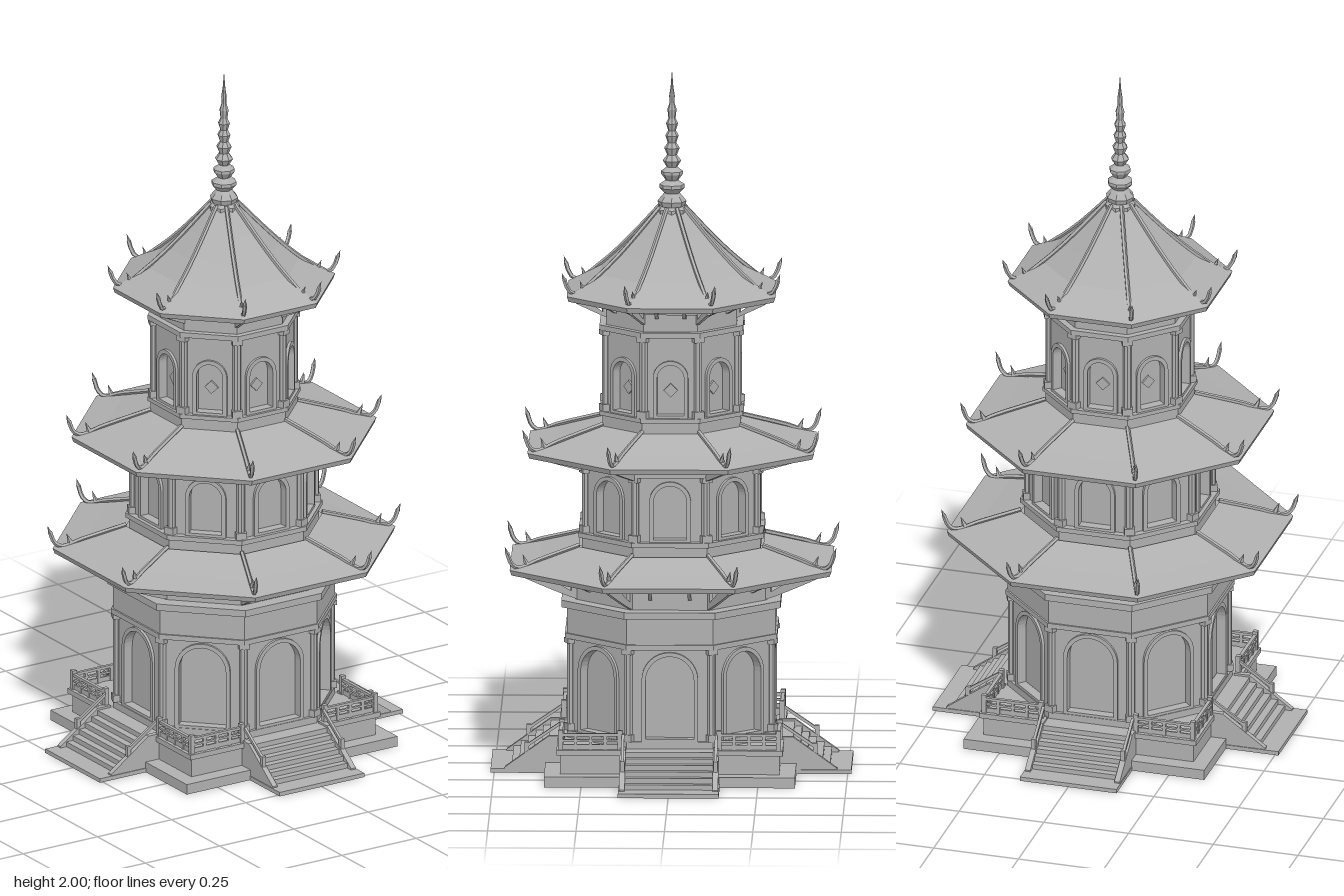
import * as THREE from 'three';

const STEP = Math.PI / 4, HALF = Math.PI / 8, COS = Math.cos(HALF), TAN = Math.tan(HALF);
const stone = new THREE.MeshStandardMaterial({ color: 0xb0b0b0, flatShading: true, side: THREE.DoubleSide });
stone.name = 'grey stone';

function add(parent, name, geometry, x = 0, y = 0, z = 0) {
  const mesh = new THREE.Mesh(geometry, stone);
  mesh.name = name;
  mesh.position.set(x, y, z);
  parent.add(mesh);
  return mesh;
}
const box = (p, name, w, h, d, x, y, z) => add(p, name, new THREE.BoxGeometry(w, h, d), x, y, z);

// Repeats a part around the tower; local +z points outwards
function around(parent, name, count, offset, build) {
  for (let i = 0; i < count; i++) {
    const g = new THREE.Group();
    g.name = name;
    g.rotation.y = offset + (i * Math.PI * 2) / count;
    build(g);
    parent.add(g);
  }
}

// Octagonal solid from [apothem, y] pairs, flat sides to the axes
function octagon(parent, name, profile) {
  const pts = profile.map(([a, y]) => new THREE.Vector2(a / COS, y));
  return add(parent, name, new THREE.LatheGeometry(pts, 8, HALF, Math.PI * 2));
}
const band = (p, name, a, y0, y1, a1 = a) => octagon(p, name, [[0, y0], [a, y0], [a1, y1], [0, y1]]);

function archPath(path, w, y0, y1) {
  path.moveTo(-w, y0);
  path.lineTo(w, y0);
  path.lineTo(w, y1 - w);
  path.absarc(0, y1 - w, w, 0, Math.PI, false);
  path.lineTo(-w, y0);
  return path;
}
const extrude = (shape, depth) => new THREE.ExtrudeGeometry(shape, { depth, bevelEnabled: false, curveSegments: 8 });

// One storey: core, eight arched walls, corner columns
function storey(parent, { a, y0, y1, w, top, diamond }) {
  band(parent, 'doorPanels', a - 0.022, y0, y1);
  around(parent, 'archedWall', 8, 0, g => {
    const s = a * TAN;
    const wall = new THREE.Shape([[-s, y0], [s, y0], [s, y1], [-s, y1]].map(p => new THREE.Vector2(...p)));
    wall.holes.push(archPath(new THREE.Path(), w, y0 + 0.008, top));
    add(g, 'wall', extrude(wall, 0.02), 0, 0, a - 0.02);
    const trim = archPath(new THREE.Shape(), w + 0.012, y0, top + 0.012);
    trim.holes.push(archPath(new THREE.Path(), w, y0 + 0.008, top));
    add(g, 'archTrim', extrude(trim, 0.008), 0, 0, a);
    if (diamond) {
      const d = box(g, 'diamond', 0.028, 0.028, 0.008, 0, (y0 + top) / 2, a - 0.02);
      d.rotation.z = STEP;
    }
  });
  around(parent, 'cornerColumn', 8, HALF, g => {
    add(g, 'column', new THREE.CylinderGeometry(0.012, 0.012, y1 - y0, 8), 0, (y0 + y1) / 2, a / COS - 0.002);
    box(g, 'columnFoot', 0.03, 0.02, 0.03, 0, y0 + 0.01, a / COS - 0.002);
    box(g, 'columnHead', 0.03, 0.014, 0.03, 0, y1 - 0.007, a / COS - 0.002);
  });
}

// Pierced bracket in the local z/y plane, from wall radius r reaching out
function bracket(g, x, r, y, reach, drop) {
  const s = new THREE.Shape();
  s.moveTo(0, 0);
  s.lineTo(0, -drop);
  s.quadraticCurveTo(reach * 0.35, -drop * 0.75, reach, -0.012);
  s.lineTo(reach, 0);
  const hole = new THREE.Path();
  hole.moveTo(reach * 0.12, -drop * 0.2);
  hole.lineTo(reach * 0.55, -drop * 0.2);
  hole.lineTo(reach * 0.12, -drop * 0.7);
  s.holes.push(hole);
  const m = add(g, 'bracket', extrude(s, 0.01), x - 0.005, y, r);
  m.rotation.y = -Math.PI / 2;
  m.position.x = x + 0.005;
}

// Roof: solid with underside, hip ridges turned up at the tips, brackets
function roof(parent, { wall, under, eave, slope, reach, drop }) {
  const [ea, ey] = eave;
  octagon(parent, 'roof', [[wall - 0.01, under], [ea - 0.005, ey - 0.015], eave, ...slope]);
  around(parent, 'hipRidge', 8, HALF, g => {
    const line = [...slope].reverse().concat([eave]).map(([a, y]) => new THREE.Vector3(0, y + 0.006, a / COS));
    const r = ea / COS;
    line[line.length - 1].z -= 0.025;
    line.push(new THREE.Vector3(0, ey + 0.018, r - 0.005), new THREE.Vector3(0, ey + 0.05, r + 0.008));
    add(g, 'ridge', new THREE.TubeGeometry(new THREE.CatmullRomCurve3(line), 20, 0.0065, 5));
    const tip = add(g, 'ridgeTip', new THREE.ConeGeometry(0.0065, 0.024, 5), 0, ey + 0.058, r + 0.011);
    tip.rotation.x = 0.35;
    const beast = add(g, 'ridgeOrnament', new THREE.ConeGeometry(0.008, 0.03, 5), 0, ey + 0.03, r - 0.045);
    beast.rotation.x = 0.4;
    bracket(g, 0, wall / COS - 0.005, ey - 0.012, reach / COS, drop);
  });
  around(parent, 'eaveBrackets', 8, 0, g => {
    for (const s of [-1, 1]) bracket(g, s * wall * TAN * 0.5, wall - 0.005, ey - 0.012, reach * 0.7, drop * 0.7);
  });
}

// Low railing along local x
function railing(parent, x0, x1, y, z) {
  const n = 4, len = x1 - x0, mid = (x0 + x1) / 2;
  for (let i = 0; i <= n; i++) {
    const end = i === 0 || i === n;
    box(parent, 'railPost', end ? 0.014 : 0.009, end ? 0.056 : 0.045, end ? 0.014 : 0.009,
      x0 + (len * i) / n, y + (end ? 0.028 : 0.0225), z);
  }
  box(parent, 'topRail', len, 0.008, 0.01, mid, y + 0.043, z);
  box(parent, 'midRail', len, 0.006, 0.008, mid, y + 0.026, z);
  box(parent, 'railPanel', len, 0.014, 0.005, mid, y + 0.008, z);
}

function polygonSide(points, depth) {
  return extrude(new THREE.Shape(points.map(p => new THREE.Vector2(...p))), depth);
}

export function createModel() {
  const model = new THREE.Group();
  model.name = 'pagoda';

  // Square plinth
  const base = new THREE.Group();
  base.name = 'plinth';
  model.add(base);
  box(base, 'lowerSlab', 0.71, 0.03, 0.71, 0, 0.015, 0);
  box(base, 'plinthBlock', 0.62, 0.055, 0.62, 0, 0.0575, 0);
  box(base, 'plinthCap', 0.64, 0.015, 0.64, 0, 0.0925, 0);

  // Four stairs with sloping cheeks, handrails and terrace railings
  around(base, 'stairs', 4, 0, g => {
    box(g, 'landing', 0.285, 0.012, 0.21, 0, 0.006, 0.405);
    const n = 6;
    for (let i = 0; i < n; i++) {
      const h = 0.1 - i * 0.0147, out = 0.345 + i * 0.021;
      box(g, 'step', 0.25, h, out - 0.3, 0, h / 2, (out + 0.3) / 2);
    }
    for (const s of [-1, 1]) {
      const cheek = add(g, 'cheek', polygonSide([[0.3, 0], [0.47, 0], [0.47, 0.016], [0.345, 0.106], [0.3, 0.106]], 0.016), s * 0.132 + 0.008);
      cheek.rotation.y = -Math.PI / 2;
      const rail = add(g, 'handrail', polygonSide([[0.315, 0.135], [0.41, 0.07], [0.41, 0.08], [0.315, 0.145]], 0.008), s * 0.132 + 0.004);
      rail.rotation.y = -Math.PI / 2;
      box(g, 'newelPost', 0.012, 0.05, 0.012, s * 0.132, 0.062, 0.408);
    }
    railing(g, -0.308, -0.14, 0.1, 0.308);
    railing(g, 0.14, 0.308, 0.1, 0.308);
  });

  // Ground storey
  const first = new THREE.Group();
  first.name = 'groundStorey';
  model.add(first);
  band(first, 'footBand', 0.295, 0.1, 0.12);
  storey(first, { a: 0.285, y0: 0.12, y1: 0.385, w: 0.068, top: 0.365 });
  band(first, 'lintelBand', 0.3, 0.385, 0.4);
  band(first, 'upperWall', 0.295, 0.4, 0.475);
  band(first, 'cornice', 0.31, 0.475, 0.495);
  band(first, 'bracketWall', 0.27, 0.495, 0.605);
  roof(first, { wall: 0.27, under: 0.605, eave: [0.455, 0.592], slope: [[0.37, 0.612], [0.26, 0.645]], reach: 0.15, drop: 0.085 });

  // Middle storey
  const second = new THREE.Group();
  second.name = 'middleStorey';
  model.add(second);
  band(second, 'sillBand', 0.252, 0.63, 0.672);
  band(second, 'sillCap', 0.262, 0.672, 0.686);
  storey(second, { a: 0.243, y0: 0.686, y1: 0.872, w: 0.047, top: 0.848 });
  band(second, 'cornice', 0.256, 0.872, 0.887);
  band(second, 'bracketWall', 0.225, 0.887, 0.94);
  roof(second, { wall: 0.225, under: 0.94, eave: [0.405, 0.925], slope: [[0.32, 0.948], [0.195, 0.988]], reach: 0.14, drop: 0.06 });

  // Top storey
  const third = new THREE.Group();
  third.name = 'topStorey';
  model.add(third);
  band(third, 'sillBand', 0.195, 0.965, 1.02);
  band(third, 'sillCap', 0.203, 1.02, 1.032);
  storey(third, { a: 0.187, y0: 1.032, y1: 1.265, w: 0.038, top: 1.185, diamond: true });
  band(third, 'cornice', 0.203, 1.265, 1.28);
  band(third, 'bracketWall', 0.185, 1.28, 1.33);
  band(third, 'eaveBeam', 0.195, 1.33, 1.385, 0.205);
  roof(third, {
    wall: 0.19, under: 1.38, eave: [0.295, 1.368], reach: 0.08, drop: 0.055,
    slope: [[0.2, 1.422], [0.145, 1.475], [0.095, 1.53], [0.035, 1.6]],
  });

  // Spire of stacked rings
  const spire = [[0, 1.58], [0.045, 1.585], [0.045, 1.6], [0.036, 1.608], [0.041, 1.622], [0.03, 1.636], [0.022, 1.645],
    [0.036, 1.66], [0.036, 1.67], [0.018, 1.682], [0.031, 1.7], [0.031, 1.708], [0.015, 1.72], [0.026, 1.738], [0.014, 1.755],
    [0.022, 1.775], [0.012, 1.79], [0.019, 1.81], [0.011, 1.825], [0.017, 1.845], [0.01, 1.86], [0.013, 1.885],
    [0.007, 1.905], [0.008, 1.925], [0.004, 1.95], [0, 2]];
  add(model, 'spire', new THREE.LatheGeometry(spire.map(p => new THREE.Vector2(...p)), 8));
  return model;
}
